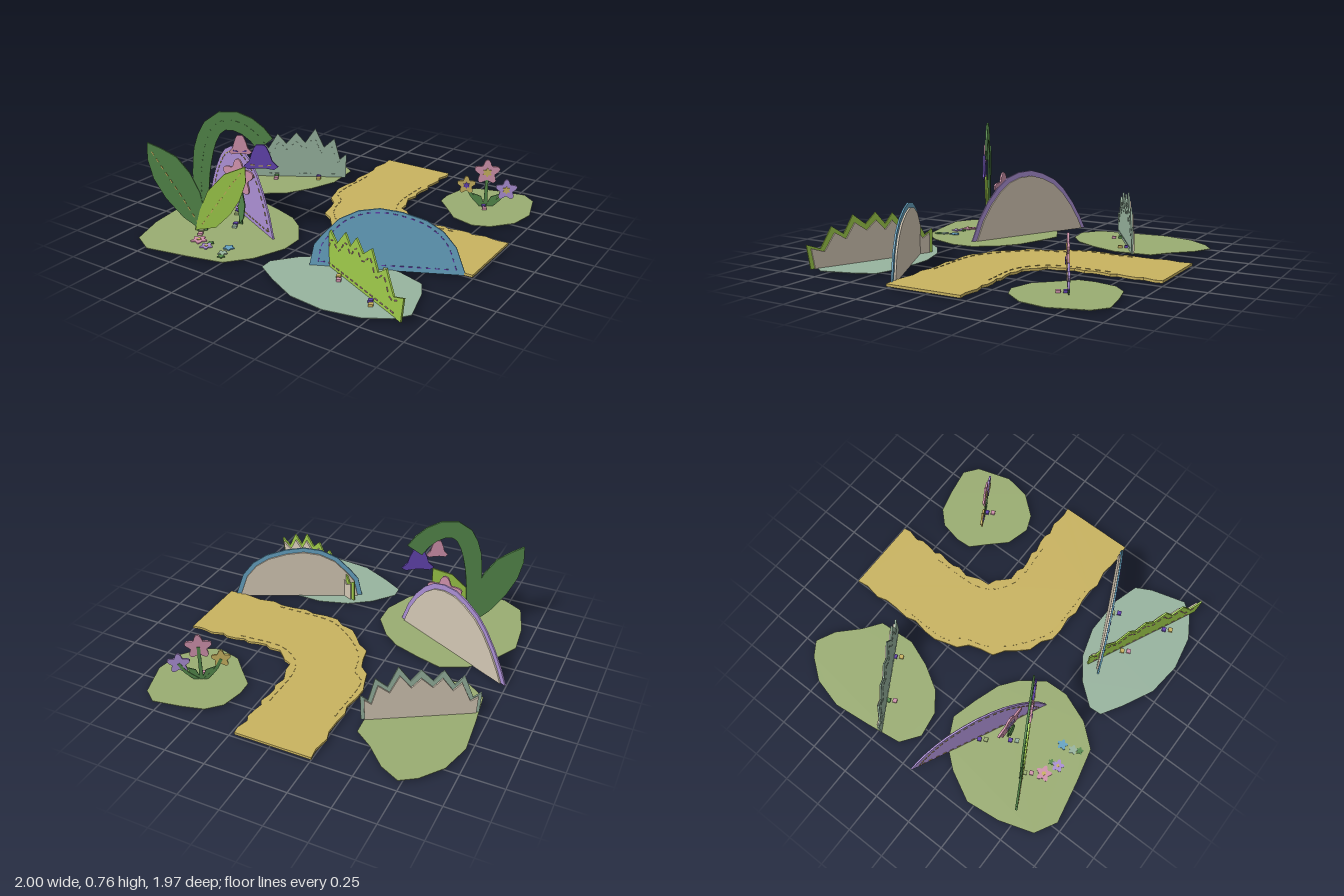
import * as THREE from 'three';
import { mergeGeometries } from 'three/addons/utils/BufferGeometryUtils.js';

const paint = (name, color) => {
  const m = new THREE.MeshStandardMaterial({ color });
  m.name = name;
  return m;
};
const M = {
  lavender: paint('lavender', 0xab8fd4), blue: paint('blue', 0x66a3c2), lime: paint('lime', 0x9fcb4a),
  green: paint('leaf green', 0x54884b), sage: paint('sage', 0x9aad72), mist: paint('mist green', 0x98b49f),
  sand: paint('sand', 0xc9b360), beige: paint('beige', 0xd3c7b4), pink: paint('pink', 0xd092ac),
  violet: paint('violet', 0x6344b0),
};

export function createModel() {
  const model = new THREE.Group();
  const vec = (pts) => pts.map(([x, y]) => new THREE.Vector2(x, y));

  // flat cut-out plate lying in the xy plane of its parent
  function plate(parent, name, pts, mat, z = 0, depth = 0.012) {
    const geo = new THREE.ExtrudeGeometry(new THREE.Shape(vec(pts)), { depth, bevelEnabled: false });
    geo.translate(0, 0, z);
    const mesh = new THREE.Mesh(geo, mat);
    mesh.name = name;
    parent.add(mesh);
    return mesh;
  }

  // dashed seam along a smooth line
  function stitch(parent, name, pts, mat, z, gap = 0.024) {
    const curve = new THREE.CatmullRomCurve3(pts.map(([x, y]) => new THREE.Vector3(x, y, 0)), false, 'centripetal');
    const n = Math.max(2, Math.round(curve.getLength() / gap));
    const p = curve.getSpacedPoints(n), parts = [];
    for (let i = 0; i < n; i += 2) {
      const d = p[i + 1].clone().sub(p[i]);
      parts.push(new THREE.BoxGeometry(d.length(), 0.006, 0.005).rotateZ(Math.atan2(d.y, d.x))
        .translate((p[i].x + p[i + 1].x) / 2, (p[i].y + p[i + 1].y) / 2, z));
    }
    const mesh = new THREE.Mesh(mergeGeometries(parts), mat);
    mesh.name = name;
    parent.add(mesh);
  }

  // upright group; outlines are given in world x and stretched along the turned plane
  function stand(name, x, z, turn) {
    const g = new THREE.Group();
    g.name = name;
    g.position.set(x, 0, z);
    g.rotation.y = turn;
    model.add(g);
    return { g, at: (pts) => pts.map(([px, y]) => [(px - x) / Math.cos(turn), y]) };
  }

  const shrink = (pts, sx, sy, lift = 0) => pts.map(([x, y]) => [x * sx, y * sy + lift]);
  const flower = (cx, cy, r, petals = 5) => Array.from({ length: 40 }, (_, i) => {
    const a = i / 40 * Math.PI * 2, k = r * (0.8 + 0.2 * Math.cos(petals * (a - Math.PI / 2)));
    return [cx + k * Math.cos(a), cy + k * Math.sin(a)];
  });
  // ribbon of varying half width around a centre line
  function ribbon(pts, w0, w1, n = 14) {
    const c = new THREE.CatmullRomCurve3(pts.map(([x, y]) => new THREE.Vector3(x, y, 0)));
    const left = [], right = [];
    for (let i = 0; i <= n; i++) {
      const p = c.getPointAt(i / n), t = c.getTangentAt(i / n), w = w0 + (w1 - w0) * Math.min(1, 2 * i / n);
      left.push([p.x - t.y * w, p.y + t.x * w]);
      right.unshift([p.x + t.y * w, p.y - t.x * w]);
    }
    return left.concat(right);
  }

  // ground
  const ground = new THREE.Group();
  ground.name = 'ground';
  ground.rotation.x = -Math.PI / 2;
  model.add(ground);
  const flat = (pts) => pts.map(([x, z]) => [x, -z]);
  const patches = {
    backLeftPatch: [M.sage, [[-.73, -.94], [-.61, -.88], [-.49, -.76], [-.38, -.68], [-.365, -.45], [-.43, -.28], [-.52, -.13],
      [-.64, -.04], [-.8, -.015], [-.915, -.1], [-.945, -.32], [-.97, -.56], [-.92, -.75], [-.82, -.88]]],
    backRightPatch: [M.sage, [[.375, -.665], [.405, -.8], [.485, -.88], [.62, -.915], [.795, -.945], [.88, -.88], [.945, -.665],
      [.915, -.505], [.81, -.38], [.71, -.34], [.565, -.38], [.47, -.48], [.38, -.57]]],
    frontLeftPatch: [M.sage, [[-.585, .065], [-.42, .11], [-.26, .165], [-.155, .245], [-.05, .39], [-.045, .535], [-.12, .725],
      [-.235, .86], [-.45, .91], [-.715, .96], [-.85, .885], [-.92, .67], [-.945, .455], [-.85, .27], [-.745, .145]]],
    frontRightPatch: [M.mist, [[-.025, .7], [.085, .565], [.22, .47], [.405, .415], [.645, .42], [.81, .47], [.86, .565],
      [.92, .78], [.86, .86], [.725, .94], [.515, .98], [.3, .955], [.11, .86], [-.02, .78]]],
  };
  for (const [name, [mat, pts]] of Object.entries(patches)) plate(ground, name, flat(pts), mat, 0, 0.004);

  // winding path with torn edges
  const inner = [[.22, -.99], [.215, -.7], [.22, -.4], [.27, -.29], [.35, -.23], [.43, -.2], [.7, -.21], [1, -.215]];
  const outer = [[-.255, -.99], [-.25, -.6], [-.245, -.24], [-.18, -.18], [-.13, -.025], [-.02, .11], [.085, .19], [.19, .245], [.6, .255], [1, .255]];
  const torn = (pts) => {
    const p = new THREE.CatmullRomCurve3(pts.map(([x, z]) => new THREE.Vector3(x, z, 0)), false, 'centripetal').getSpacedPoints(28);
    return p.map((v, i) => {
      const j = i % 28 ? 0.011 * Math.sin(i * 2.3) : 0;
      return i % 28 ? [v.x + j, v.y - j] : [v.x, v.y];
    });
  };
  plate(ground, 'path', flat([...torn(inner), ...torn(outer).reverse()]), M.sand, 0, 0.015);
  stitch(ground, 'innerPathSeam', flat(inner.slice(1, -1).map(([x, z]) => [x - .035, z + .035])), M.sand, 0.016, 0.03);
  stitch(ground, 'outerPathSeam', flat(outer.slice(1, -1).map(([x, z]) => [x + .03, z - .03])), M.sand, 0.016, 0.03);

  // hills with a smaller backing
  function hill(name, x, z, turn, outline, mat, thread) {
    const { g, at } = stand(name, x, z, turn), pts = at(outline);
    plate(g, name + 'Front', pts, mat, 0, 0.01);
    plate(g, name + 'Backing', shrink(pts, .93, .92), M.beige, -0.01, 0.01);
    stitch(g, name + 'Seam', shrink(pts, .88, .86, .03), thread, 0.011);
    stitch(g, name + 'BaseSeam', [[pts[0][0] * .85, .03], [-pts[0][0] * .85, .03]], thread, 0.011);
  }
  hill('lavenderHill', -.582, .265, -.459, [[-.995, 0], [-.96, .08], [-.9, .19], [-.83, .29], [-.76, .36], [-.67, .41], [-.59, .435],
    [-.5, .43], [-.42, .4], [-.35, .34], [-.28, .25], [-.22, .14], [-.17, 0]], M.lavender, M.sand);
  hill('blueHill', .565, .43, .44, [[.18, 0], [.205, .13], [.25, .195], [.33, .29], [.425, .345], [.53, .365], [.64, .35],
    [.757, .31], [.84, .25], [.905, .16], [.955, 0]], M.blue, M.violet);

  // tufts of pointed grass
  function grass(name, x, z, turn, half, tips, mat, thread) {
    const { g, at } = stand(name, x, z, turn), raw = [[x - half, 0]];
    tips.forEach(([tx, ty], i) => {
      raw.push([tx, ty]);
      const next = tips[i + 1];
      if (next) raw.push([tx * .55 + next[0] * .45, Math.min(ty, next[1]) * .78]);
    });
    raw.push([x + half, 0]);
    const pts = at(raw);
    plate(g, name + 'Front', pts, mat, 0, 0.01);
    plate(g, name + 'Backing', shrink(pts, .94, .84), M.beige, -0.01, 0.01);
    stitch(g, name + 'Seam', shrink(pts.slice(1, -1), .92, .8), thread, 0.011);
    stitch(g, name + 'BaseSeam', [[-half, .025], [half, .025]], thread, 0.011);
  }
  grass('limeGrass', .555, .69, -.446, .355, [[.2, .15], [.3, .225], [.44, .275], [.54, .29], [.67, .29], [.79, .235], [.93, .145]], M.lime, M.pink);
  grass('mistGrass', -.645, -.405, .535, .29, [[-.94, .14], [-.85, .265], [-.75, .31], [-.64, .32], [-.53, .35], [-.42, .28], [-.35, .17]], M.mist, M.mist);

  // arching bellflower plant
  const { g: plant, at } = stand('bellflower', -.525, .56, .505);
  const stemLine = at([[-.61, 0], [-.6, .2], [-.59, .4], [-.56, .57], [-.51, .67], [-.45, .7], [-.37, .68], [-.3, .62], [-.26, .56]]);
  plate(plant, 'stem', ribbon(stemLine, .035, .057), M.green, -0.006);
  stitch(plant, 'stemSeam', stemLine, M.green, 0.007);
  plate(plant, 'tallLeaf', at([[-.6, 0], [-.7, .09], [-.785, .21], [-.84, .33], [-.865, .45], [-.86, .555], [-.79, .52], [-.715, .47],
    [-.65, .37], [-.605, .25], [-.585, .12]]), M.green, 0, 0.012);
  stitch(plant, 'tallLeafVein', at([[-.62, .05], [-.7, .22], [-.78, .38], [-.84, .5]]), M.sand, 0.013);
  plate(plant, 'limeLeaf', at([[-.64, .01], [-.61, .14], [-.565, .26], [-.475, .37], [-.365, .42], [-.365, .32], [-.4, .21], [-.45, .12], [-.53, .03]]),
    M.lime, 0.004, 0.012);
  stitch(plant, 'limeLeafVein', at([[-.6, .05], [-.52, .18], [-.45, .29], [-.39, .38]]), M.sand, 0.017);
  function bell(name, x, top, h, w, mat, thread) {
    const half = [[.22, 1], [.36, .9], [.55, .6], [.66, .35], [1, .12], [.75, 0], [.25, .05]];
    const side = (s) => half.map(([u, v]) => [x + s * u * w, top - h + v * h]);
    plate(plant, name, at([...side(1), ...side(-1).reverse()]), mat, 0.008, 0.012);
    stitch(plant, name + 'Seam', at([[x - w * .6, top - h * .8], [x, top - h * .85], [x + w * .6, top - h * .8]]), thread, 0.021);
  }
  bell('pinkBell', -.385, .615, .115, .058, M.pink, M.violet);
  bell('violetBell', -.283, .56, .15, .088, M.violet, M.sand);

  // flowers on stems
  function bloom(parent, name, x, y, r, mat, heart, root) {
    plate(parent, name + 'Stem', ribbon([[root, 0], [(root + x) / 2 + (x - root) * .15, y * .5], [x, y]], .012, .01, 6), M.green, -0.006, 0.008);
    plate(parent, name + 'Petals', flower(x, y, r), mat, -0.004, 0.012);
    plate(parent, name + 'Heart', flower(x, y, r * .35, 6), heart, 0.008, 0.005);
  }
  const { g: single } = stand('pinkFlower', -.47, .41, 0);
  bloom(single, 'pinkFlower', 0, .31, .118, M.pink, M.lavender, 0);
  plate(single, 'pinkFlowerLeaf', [[0, .01], [.03, .05], [.045, .14], [.03, .22], [-.01, .12]], M.green, 0.003, 0.008);
  const { g: posy } = stand('posy', .655, -.645, .5);
  bloom(posy, 'goldFlower', -.125, .145, .06, M.sand, M.violet, -.02);
  bloom(posy, 'roseFlower', 0, .235, .083, M.pink, M.sand, 0);
  bloom(posy, 'lilacFlower', .125, .12, .07, M.lavender, M.sand, .02);
  for (const s of [-1, 1]) {
    plate(posy, 'posyLeaf', [[0, 0], [.05, .03], [.085, .09], [.03, .07]].map(([x, y]) => [s * x, y]), M.green, s > 0 ? -0.002 : -0.004, 0.006);
  }

  // fallen petals
  for (const [x, z, r, mat, heart] of [[-.53, .72, .05, M.pink, M.sand], [-.44, .76, .04, M.lavender, M.sand], [-.318, .705, .034, M.blue, M.blue],
    [-.305, .775, .03, M.mist, M.mist], [-.285, .812, .024, M.green, M.green], [-.445, .715, .02, M.green, M.green]]) {
    plate(ground, 'fallenPetals', flower(x, -z, r), mat, 0.004, 0.006);
    if (heart !== mat) plate(ground, 'fallenHeart', flower(x, -z, r * .3, 6), heart, 0.01, 0.003);
  }

  // small beads at the feet of the cut-outs
  const bead = new THREE.BoxGeometry(.026, .014, .026);
  for (const [x, z, a, b] of [[-.75, -.32, M.green, M.pink], [-.505, -.47, M.violet, M.sand], [-.6, .28, M.violet, M.sage], [-.49, .435, M.violet, M.mist],
    [-.595, .625, M.sage, M.pink], [.575, .455, M.sage, M.violet], [.4, .65, M.sand, M.pink], [.68, .78, M.violet, M.sand], [.65, -.63, M.violet, M.pink]]) {
    [[0, 0, a], [.022, .034, b]].forEach(([dx, dz, mat]) => {
      const m = new THREE.Mesh(bead, mat);
      m.name = 'bead';
      m.position.set(x + dx, .011, z + dz);
      m.rotation.y = .4;
      model.add(m);
    });
  }
  return model;
}
